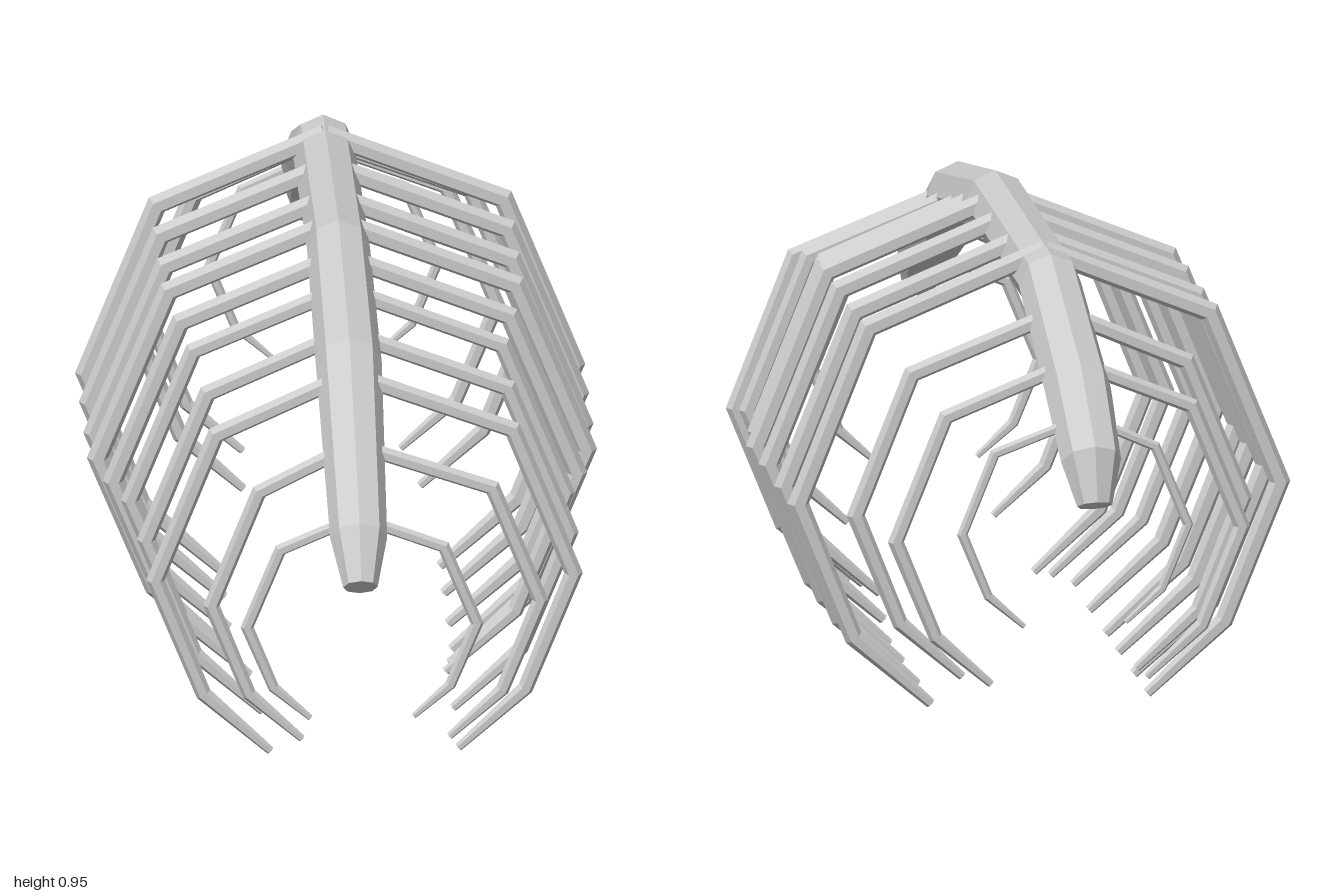
import * as THREE from 'three';

const material = new THREE.MeshStandardMaterial({ color: 0xcccccc, flatShading: true });

// Sweeps a regular polygon along a flat path; side is the normal of the path's plane.
// Rings sit on the mitre of each bend, and both ends are capped.
function sweep(points, radii, side, sides) {
  const last = points.length - 1;
  const directions = points.slice(1).map((p, i) => p.clone().sub(points[i]).normalize());
  const rings = points.map((p, k) => {
    const before = directions[Math.max(k - 1, 0)];
    const after = directions[Math.min(k, last - 1)];
    const tangent = before.clone().add(after).normalize();
    const normal = side.clone().cross(tangent).divideScalar(tangent.dot(after));
    return Array.from({ length: sides }, (_, i) => {
      const a = (i / sides) * Math.PI * 2;
      return p.clone()
        .addScaledVector(normal, radii[k] * Math.cos(a))
        .addScaledVector(side, radii[k] * Math.sin(a));
    });
  });
  const corners = [];
  for (let i = 0; i < sides; i++) {
    const j = (i + 1) % sides;
    for (let k = 0; k < last; k++) {
      const [a, b, c, d] = [rings[k][i], rings[k][j], rings[k + 1][j], rings[k + 1][i]];
      corners.push(a, b, c, a, c, d);
    }
    corners.push(points[0], rings[0][j], rings[0][i]);
    corners.push(points[last], rings[last][i], rings[last][j]);
  }
  const geometry = new THREE.BufferGeometry().setFromPoints(corners);
  geometry.computeVertexNormals();
  return geometry;
}

// Spine stations from front to back: z, y, radius
const SPINE_X = -0.01;
const SPINE = [
  [0.978, 0.497, 0.034],
  [0.91, 0.575, 0.056],
  [0.525, 0.795, 0.065],
  [0.125, 0.885, 0.062],
  [-0.465, 0.875, 0.062],
  [-0.775, 0.74, 0.066],
  [-0.92, 0.635, 0.06],
  [-0.96, 0.553, 0.035],
];

// Rib pairs from front to back: z, half width, sideways shift, top y, tip y, radius
const RIBS = [
  [0.845, 0.238, 0, 0.605, 0.17, 0.012],
  [0.725, 0.338, 0.033, 0.715, 0.08, 0.015],
  [0.58, 0.428, 0.018, 0.81, 0.0, 0.017],
  [0.44, 0.433, 0.012, 0.845, 0.03, 0.017],
  [0.29, 0.445, 0, 0.88, 0.05, 0.017],
  [0.182, 0.475, 0, 0.91, 0.025, 0.019],
  [0.06, 0.5, 0, 0.937, 0.008, 0.02],
  [-0.08, 0.5, 0, 0.937, 0.008, 0.02],
  [-0.25, 0.5, 0, 0.937, 0.008, 0.02],
  [-0.4, 0.5, 0, 0.945, 0.008, 0.02],
  [-0.58, 0.403, 0.012, 0.865, 0.11, 0.017],
  [-0.73, 0.36, 0, 0.8, 0.133, 0.015],
  [-0.855, 0.235, 0.01, 0.715, 0.282, 0.01],
];

// Bends shared by all ribs: share of half width, share of height, share of radius
const BENDS = [
  [0, 1, 1],
  [0.71, 0.845, 1],
  [1, 0.46, 1],
  [0.77, 0.155, 0.9],
  [0.45, 0, 0.5],
];

function ribGeometry([z, halfWidth, shift, top, tip, radius], sign) {
  const w = halfWidth - radius;
  const low = tip + radius * 0.35;
  const height = top - radius - low;
  const points = BENDS.map(([u, v], i) =>
    new THREE.Vector3(i ? shift + sign * u * w : SPINE_X, low + v * height, z));
  return sweep(points, BENDS.map((b) => b[2] * radius), new THREE.Vector3(0, 0, 1), 6);
}

export function createModel() {
  const model = new THREE.Group();
  model.name = 'ribcage';
  const add = (name, geometry, parent) => {
    const mesh = new THREE.Mesh(geometry, material);
    mesh.name = name;
    parent.add(mesh);
  };

  // Arched eight-sided backbone
  const spinePoints = SPINE.map(([z, y]) => new THREE.Vector3(SPINE_X, y, z));
  add('spine', sweep(spinePoints, SPINE.map((s) => s[2]), new THREE.Vector3(1, 0, 0), 8), model);

  // Curved ribs hanging in pairs
  RIBS.forEach((rib, i) => {
    const pair = new THREE.Group();
    pair.name = `ribPair${i + 1}`;
    add('leftRib', ribGeometry(rib, 1), pair);
    add('rightRib', ribGeometry(rib, -1), pair);
    model.add(pair);
  });
  return model;
}
